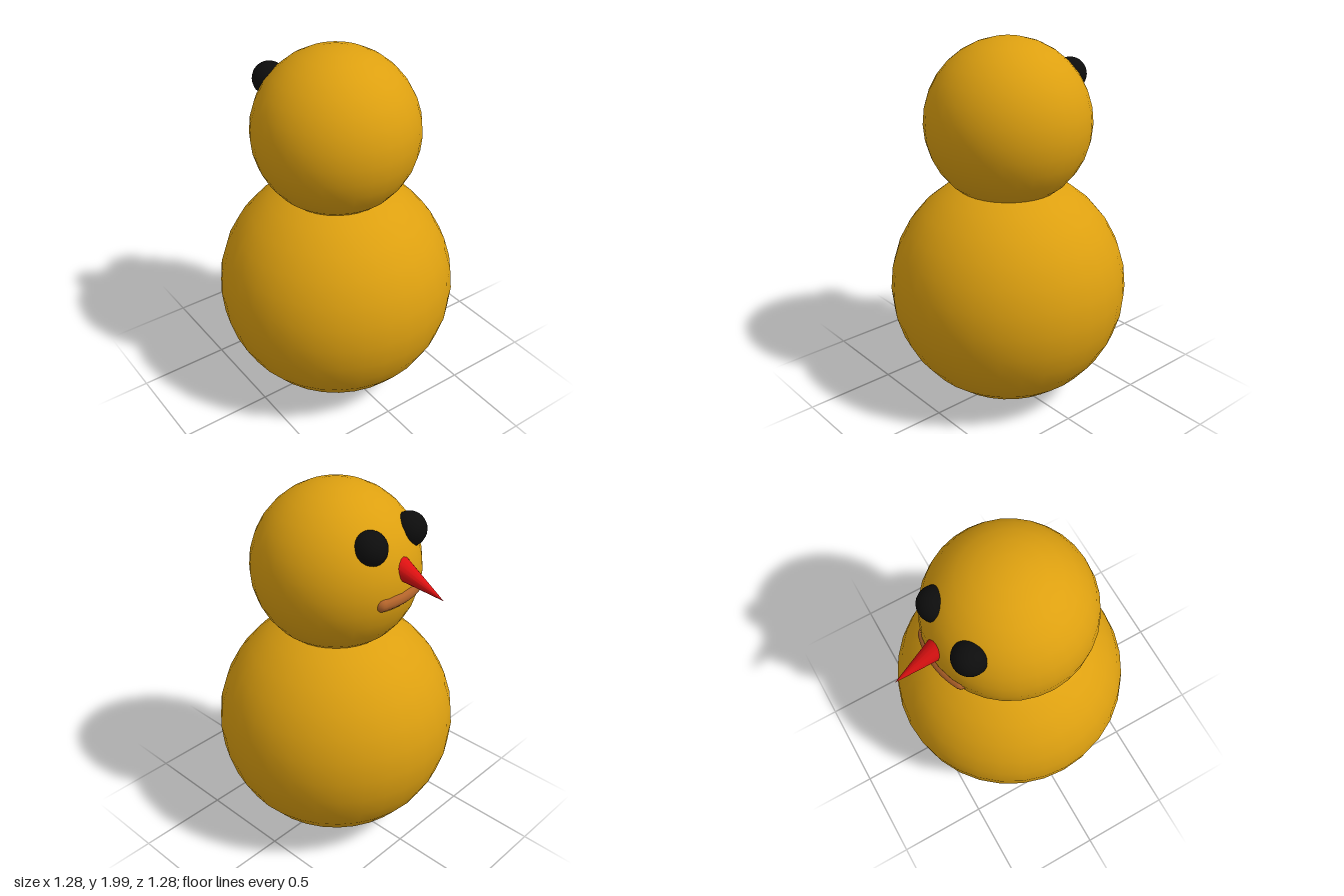
import * as THREE from 'three';

const material = (color) => new THREE.MeshStandardMaterial({ color });

export function createModel() {
  const model = new THREE.Group();
  const yellow = material(0xdda010);
  const black = material(0x0d0d0d);
  const red = material(0xdd1111);
  const brown = material(0xb5652b);

  const add = (parent, name, geometry, mat, x = 0, y = 0, z = 0) => {
    const mesh = new THREE.Mesh(geometry, mat);
    mesh.name = name;
    mesh.position.set(x, y, z);
    parent.add(mesh);
    return mesh;
  };

  // Two stacked balls
  add(model, 'body', new THREE.SphereGeometry(0.64, 32, 16), yellow, 0, 0.647, 0);
  add(model, 'head', new THREE.SphereGeometry(0.436, 32, 16), yellow, 0, 1.564, 0);

  // Eyes, sunk into the head
  const eye = new THREE.SphereGeometry(0.088, 24, 16);
  add(model, 'rightEye', eye, black, -0.322, 1.783, -0.113);
  add(model, 'leftEye', eye, black, -0.308, 1.783, 0.19);

  // Cone nose, pointing outward and slightly down
  const tip = new THREE.Vector3(-0.64, 1.562, 0.055);
  const base = new THREE.Vector3(-0.375, 1.666, 0.031);
  const axis = tip.clone().sub(base);
  const nose = add(model, 'nose', new THREE.ConeGeometry(0.061, axis.length(), 16), red);
  nose.position.copy(base).add(tip).multiplyScalar(0.5);
  nose.quaternion.setFromUnitVectors(new THREE.Vector3(0, 1, 0), axis.normalize());

  // Mouth: a round-ended tube wrapped around the head
  const mouth = new THREE.Group();
  mouth.name = 'mouth';
  model.add(mouth);
  const points = [];
  for (let i = 0; i <= 6; i++) {
    const a = THREE.MathUtils.degToRad(-15 + i * 7);
    points.push(new THREE.Vector3(-0.411 * Math.cos(a), 1.52, 0.411 * Math.sin(a)));
  }
  const curve = new THREE.CatmullRomCurve3(points);
  add(mouth, 'lips', new THREE.TubeGeometry(curve, 20, 0.04, 12), brown);
  for (const p of [points[0], points[6]]) {
    add(mouth, 'mouthCorner', new THREE.SphereGeometry(0.04, 12, 8), brown, p.x, p.y, p.z);
  }

  return model;
}
